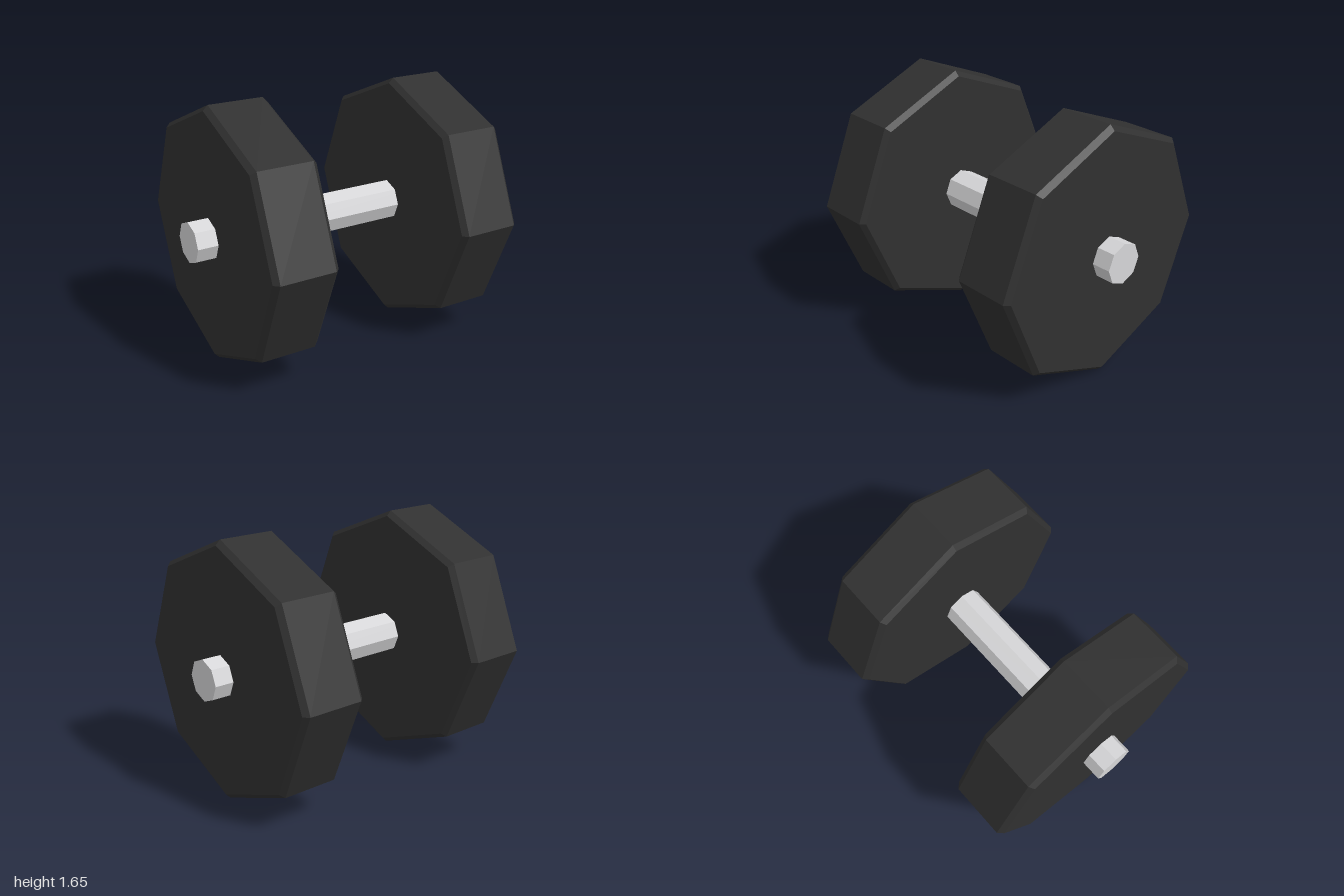
import * as THREE from 'three';

const AXIS_Y = 0.827;

// Eight-sided solid turned about the x axis; profile points are [radius, x]
function octagonal(name, profile, material) {
  const points = profile.map(([r, x]) => new THREE.Vector2(r, x));
  const geometry = new THREE.LatheGeometry(points, 8);
  geometry.rotateZ(-Math.PI / 2);
  const mesh = new THREE.Mesh(geometry, material);
  mesh.name = name;
  return mesh;
}

export function createModel() {
  const rubber = new THREE.MeshStandardMaterial({ color: 0x303030, flatShading: true });
  rubber.name = 'black rubber';
  const steel = new THREE.MeshStandardMaterial({ color: 0xd6d6d8, flatShading: true });
  steel.name = 'light steel';

  const group = new THREE.Group();
  group.name = 'dumbbell';

  // Bar running through both weights
  const bar = octagonal('bar', [[0, -1], [0.133, -1], [0.133, 1], [0, 1]], steel);
  bar.position.y = AXIS_Y;
  group.add(bar);

  // Bevelled weights
  const half = 0.212, radius = 0.827, bevel = 0.032;
  const profile = [
    [0, -half], [radius - bevel, -half], [radius, -half + bevel],
    [radius, half - bevel], [radius - bevel, half], [0, half],
  ];
  for (const [name, x] of [['rightWeight', -0.654], ['leftWeight', 0.665]]) {
    const weight = octagonal(name, profile, rubber);
    weight.position.set(x, AXIS_Y, 0);
    group.add(weight);
  }
  return group;
}
